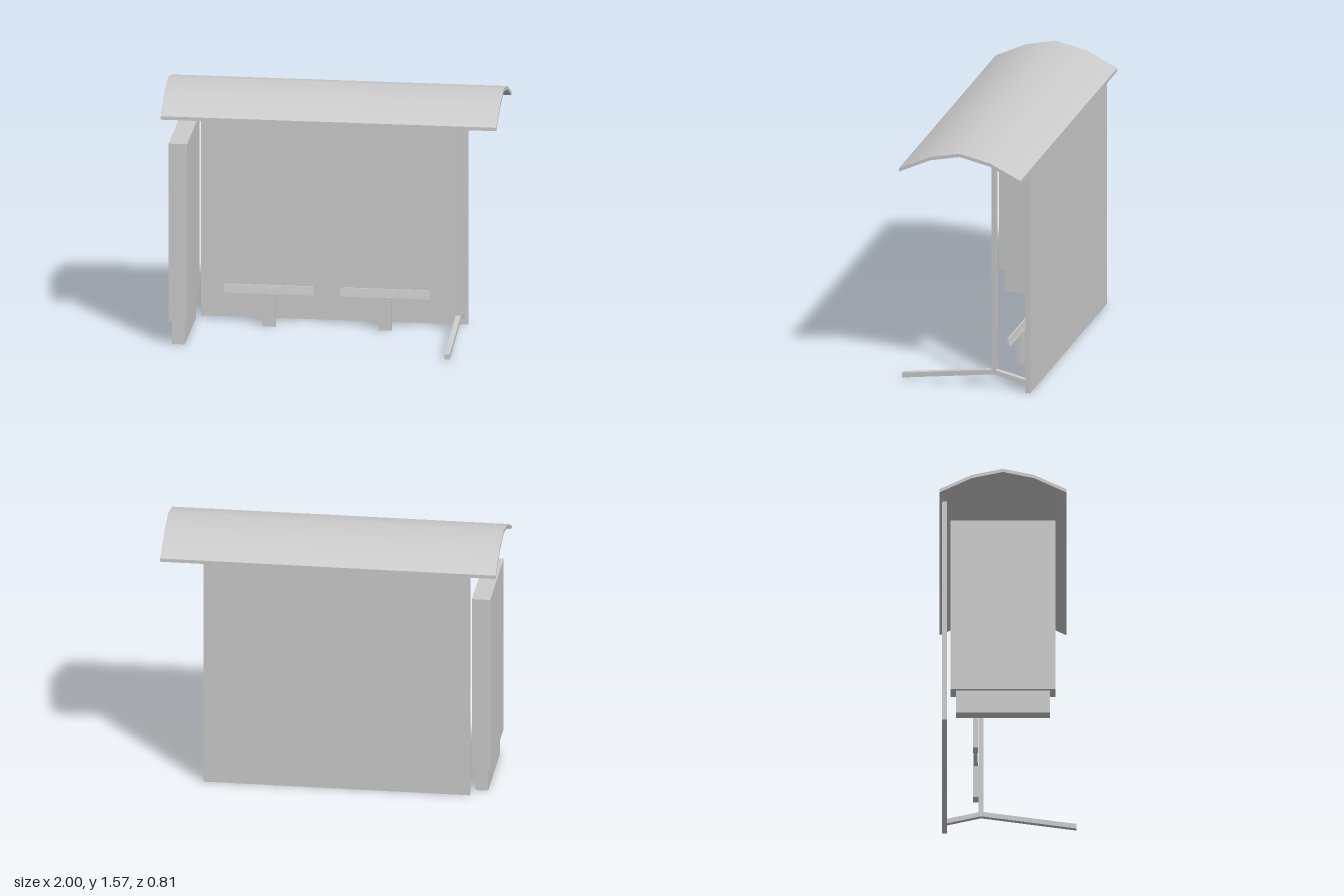
import * as THREE from 'three';

const flat = () => new THREE.MeshStandardMaterial({ color: 0xcccccc, flatShading: true });

// Box given by its limits on each axis
function box(name, [x0, x1], [y0, y1], [z0, z1]) {
  const g = new THREE.BoxGeometry(x1 - x0, y1 - y0, z1 - z0);
  g.translate((x0 + x1) / 2, (y0 + y1) / 2, (z0 + z1) / 2);
  const mesh = new THREE.Mesh(g, flat());
  mesh.name = name;
  return mesh;
}

// Side profile of [z, y] points swept along x
function sweep(name, points, x0, x1) {
  const shape = new THREE.Shape(points.map(([z, y]) => new THREE.Vector2(-z, y)));
  const g = new THREE.ExtrudeGeometry(shape, { depth: x1 - x0, bevelEnabled: false });
  g.rotateY(Math.PI / 2).translate(x0, 0, 0);
  const mesh = new THREE.Mesh(g, flat());
  mesh.name = name;
  return mesh;
}

// Give the curved faces of the roof normals that follow the arch
function smoothArch(mesh, zMid, zFront, zBack, radius) {
  const { position: p, normal: n } = mesh.geometry.attributes;
  for (let i = 0; i < p.count; i++) {
    if (Math.abs(n.getX(i)) > 0.5 || Math.abs(n.getY(i)) < 0.5) continue;
    const v = new THREE.Vector3(0, radius, p.getZ(i) - zMid).normalize();
    if (n.getY(i) < 0) v.negate();
    n.setXYZ(i, v.x, v.y, v.z);
  }
  mesh.material.flatShading = false;
}

export function createModel() {
  const model = new THREE.Group();
  model.name = 'busShelter';

  // Arched roof
  const arch = [[0.345, 1.432], [0.155, 1.524], [-0.03, 1.565], [-0.215, 1.524], [-0.405, 1.432]];
  const under = arch.map(([z, y]) => [z, y - 0.021]).reverse();
  const roof = sweep('roof', [...arch, ...under], -1, 1);
  smoothArch(roof, -0.03, 0.345, -0.405, 0.7);
  model.add(roof);

  // Back wall
  model.add(box('backWall', [-0.845, 0.745], [0, 1.425], [-0.39, -0.36]));

  // Display panel on its plinth
  model.add(box('displayPanel', [-0.96, -0.85], [0.145, 1.245], [-0.34, 0.28]));
  model.add(box('displayPlinth', [-0.943, -0.867], [0, 0.145], [-0.308, 0.248]));

  // Roof post and its bent foot
  model.add(box('roofPost', [0.7, 0.73], [0.1, 1.515], [-0.175, -0.145]));
  model.add(sweep('postFoot', [
    [0.405, 0.01], [0.405, 0.04], [-0.16, 0.12], [-0.36, 0.074], [-0.36, 0.044], [-0.16, 0.09],
  ], 0.7, 0.73));

  // Two perch benches with tapered rails
  for (const x of [-0.417, 0.273]) {
    const bench = new THREE.Group();
    bench.name = 'bench';
    bench.add(box('benchLeg', [x - 0.038, x + 0.038], [0, 0.203], [-0.206, -0.176]));
    bench.add(sweep('benchRail', [
      [-0.179, 0.2], [-0.182, 0.22], [-0.188, 0.252], [-0.196, 0.252], [-0.2, 0.22], [-0.204, 0.2],
    ], x - 0.268, x + 0.268));
    model.add(bench);
  }
  return model;
}
